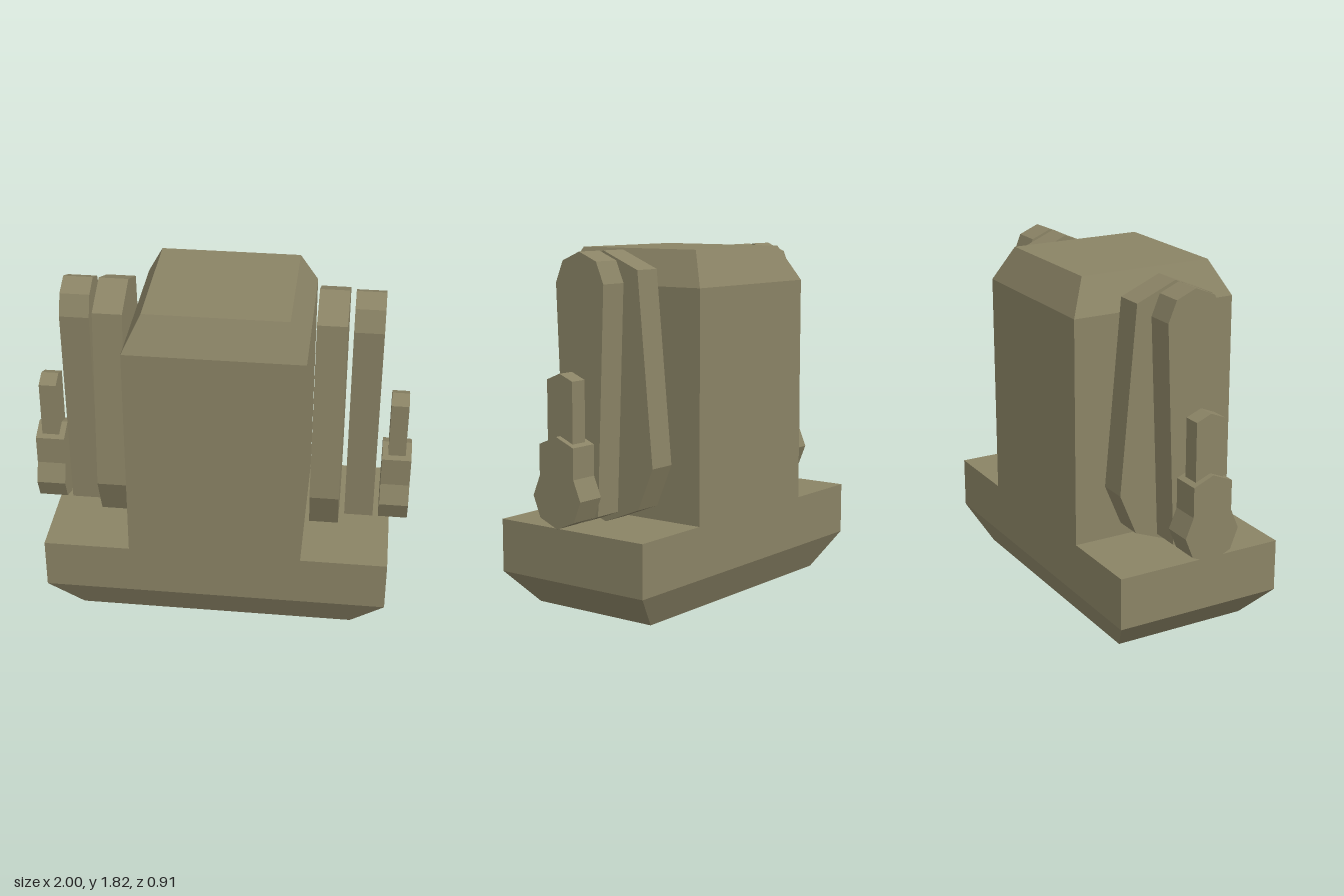
import * as THREE from 'three';

const olive = new THREE.MeshStandardMaterial({ color: 0x8a8365 });
olive.name = 'olive';

// Block with three rectangular levels [y, halfWidth, halfDepth], bottom to top
function steppedBlock(name, levels) {
  const geo = new THREE.BoxGeometry(2, 2, 2, 1, 2, 1).toNonIndexed();
  const p = geo.attributes.position;
  for (let i = 0; i < p.count; i++) {
    const [y, w, d] = levels[Math.round(p.getY(i)) + 1];
    p.setXYZ(i, p.getX(i) * w, y, p.getZ(i) * d);
  }
  geo.computeVertexNormals();
  const mesh = new THREE.Mesh(geo, olive);
  mesh.name = name;
  return mesh;
}

// Plate spanning x0..x1; half outline [z, y] runs bottom to top and is mirrored in z
function sidePlate(name, x0, x1, half) {
  const mirrored = half.filter(([z]) => z > 0).reverse().map(([z, y]) => [-z, y]);
  const shape = new THREE.Shape([...half, ...mirrored].map(([z, y]) => new THREE.Vector2(z, y)));
  const geo = new THREE.ExtrudeGeometry(shape, { depth: x1 - x0, bevelEnabled: false });
  geo.rotateY(Math.PI / 2);
  geo.translate(x0, 0, 0);
  const mesh = new THREE.Mesh(geo, olive);
  mesh.name = name;
  return mesh;
}

export function createModel() {
  const model = new THREE.Group();
  model.name = 'steppedBlockWithSidePlates';

  // Base with chamfered underside, tower with chamfered top
  model.add(steppedBlock('base', [[0, 0.73, 0.363], [0.182, 0.907, 0.455], [0.455, 0.907, 0.455]]));
  model.add(steppedBlock('tower', [[0.455, 0.453, 0.455], [1.637, 0.453, 0.455], [1.818, 0.363, 0.363]]));

  // Side plates: [name, inner x, outer x, half outline]
  const plates = [
    ['InnerPlate', 0.483, 0.635, [[0, 0.455], [0.212, 0.538], [0.303, 0.755], [0.213, 1.725], [0, 1.815]]],
    ['OuterPlate', 0.665, 0.817, [[0, 0.48], [0.106, 0.523], [0.151, 1.662], [0.106, 1.77], [0, 1.815]]],
    ['Knob', 0.847, 1, [[0, 0.48], [0.108, 0.525], [0.151, 0.632], [0.108, 0.735], [0.108, 0.89], [0, 0.935]]],
    ['Peg', 0.878, 0.969, [[0.08, 0.88], [0.08, 1.205], [0, 1.238]]],
  ];
  for (const [name, x0, x1, half] of plates) {
    model.add(sidePlate('left' + name, x0, x1, half));
    model.add(sidePlate('right' + name, -x1, -x0, half));
  }
  return model;
}
